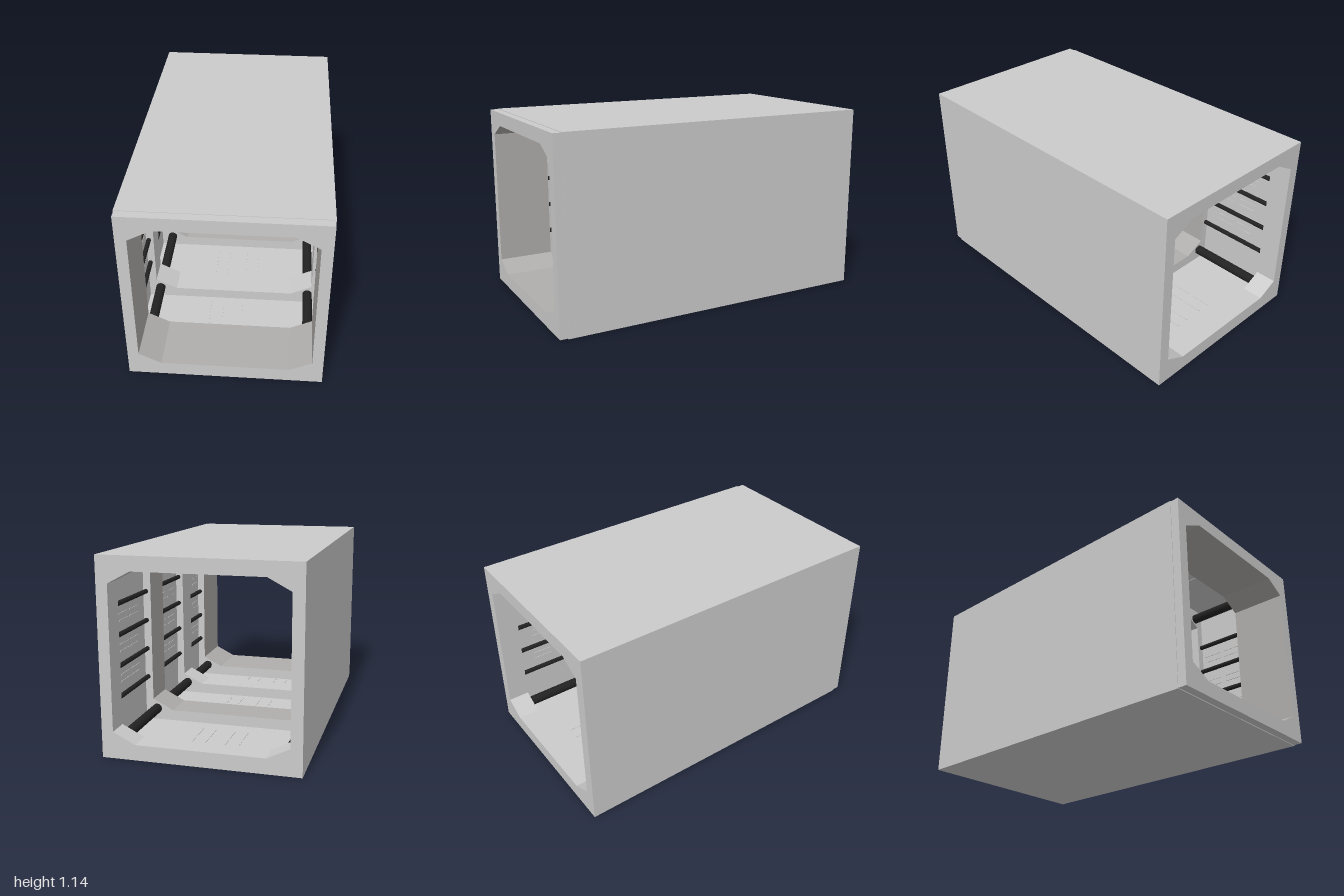
import * as THREE from 'three';

const W = 0.567, H = 1.138;      // half width and height of the shell
const IW = 0.547, Y0 = 0.025, Y1 = 1.113; // inner wall, floor and ceiling

const grey = new THREE.MeshStandardMaterial({ color: 0xcccccc, flatShading: true });
const lining = new THREE.MeshStandardMaterial({ color: 0xb0aeac, flatShading: true });
const dark = new THREE.MeshStandardMaterial({ color: 0x222222 });

const rect = (w, y0, y1) => [[-w, y0], [w, y0], [w, y1], [-w, y1]];
const opening = [[-0.37, 0.09], [0.37, 0.09], [0.5, 0.155], [0.5, 0.985],
  [0.37, 1.054], [-0.37, 1.054], [-0.5, 0.985], [-0.5, 0.155]];

// Ring with an outer and inner outline, running from z0 to z1
function ring(name, outer, inner, z0, z1, material) {
  const pts = (list) => list.map(([x, y]) => new THREE.Vector2(x, y));
  const shape = new THREE.Shape(pts(outer));
  shape.holes.push(new THREE.Path(pts(inner)));
  const geo = new THREE.ExtrudeGeometry(shape, { depth: z1 - z0, bevelEnabled: false });
  geo.translate(0, 0, z0);
  const mesh = new THREE.Mesh(geo, material);
  mesh.name = name;
  return mesh;
}

export function createModel() {
  const group = new THREE.Group();
  const inside = rect(IW, Y0, Y1);

  // Outer shell, with a slightly smaller collar at the front end
  group.add(ring('shell', rect(W, 0, H), inside, -1, 0.95, grey));
  group.add(ring('frontCollar', rect(W - 0.003, 0.004, H - 0.003), inside, 0.95, 1, grey));

  // Ribs with bevelled openings
  const ribs = [
    ['frontFrame', 0.66, 1, lining], ['frontRib', 0.19, 0.35, grey],
    ['backRib', -0.395, -0.19, lining], ['backFrame', -1, -0.87, grey],
  ];
  for (const [name, z0, z1, side] of ribs) {
    group.add(ring(name, inside, opening, z0, z1, [grey, side]));
  }

  // Pipes along the walls and in the four corners
  const pipe = (name, x, y, r) => {
    const mesh = new THREE.Mesh(new THREE.CylinderGeometry(r, r, 1.99, 16), dark);
    mesh.name = name;
    mesh.rotation.x = Math.PI / 2;
    mesh.position.set(x, y, 0);
    group.add(mesh);
  };
  for (const s of [-1, 1]) {
    for (const y of [0.3, 0.48, 0.66, 0.84]) pipe('wallPipe', s * 0.53, y, 0.014);
    for (const y of [0.095, 1.043]) pipe('cornerPipe', s * 0.475, y, 0.03);
  }

  // Thin raised strips on the walls, floor and ceiling of each bay
  const strip = (name, w, h, x, y, z) => {
    const mesh = new THREE.Mesh(new THREE.BoxGeometry(w, h, 0.12), grey);
    mesh.name = name;
    mesh.position.set(x, y, z);
    group.add(mesh);
  };
  for (const bay of [0.505, 0, -0.63]) {
    for (const dz of [-0.075, 0.075]) {
      for (const s of [-1, 1]) {
        for (const y of [0.37, 0.41, 0.55, 0.59, 0.73, 0.77]) {
          strip('wallStrip', 0.006, 0.008, s * IW, y, bay + dz);
        }
        for (const x of [0.06, 0.14]) {
          strip('floorStrip', 0.008, 0.006, s * x, Y0, bay + dz);
          strip('ceilingStrip', 0.008, 0.006, s * x, Y1, bay + dz);
        }
      }
    }
  }
  return group;
}
